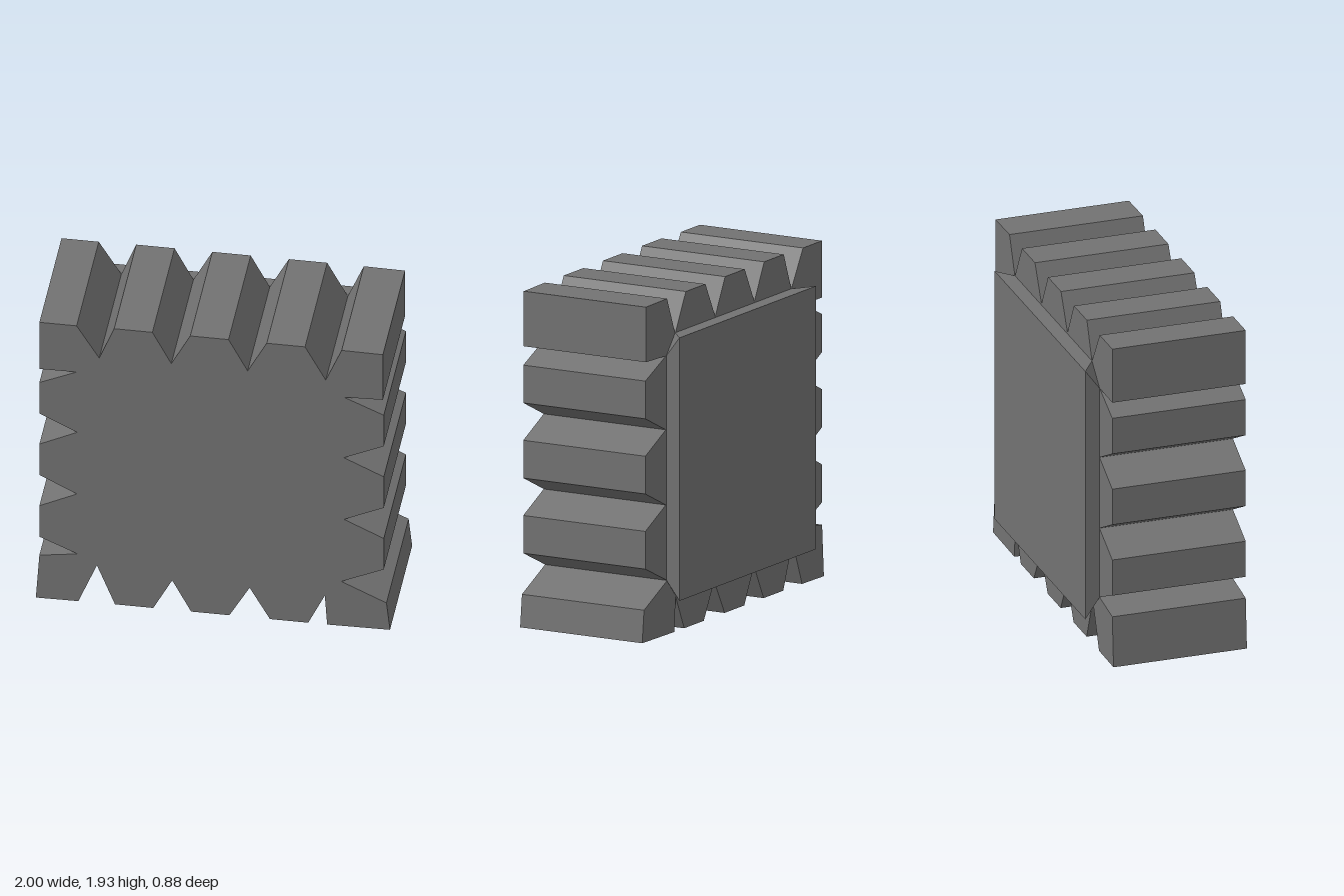
import * as THREE from 'three';

const FRONT = 0.435, STEP = -0.355, BACK = -0.44;

// Row of three teeth with V valleys between them; place(along, level) gives a point
function teeth(centres, half, edge, valley, place) {
  const pts = [];
  centres.forEach((c, i) => {
    pts.push(place(c - half, edge), place(c + half, edge));
    if (i < centres.length - 1) pts.push(place((c + centres[i + 1]) / 2, valley));
  });
  return pts;
}
const alongX = (a, level) => [a, level];
const alongY = (a, level) => [level, a];

// Outline, counter-clockwise from the lower left corner block
function outline() {
  const xs = [-0.445, -0.015, 0.43], ys = [0.535, 0.965, 1.395], h = 0.108;
  return [
    [-0.98, 0.298], [-1, 0], [-0.76, 0.003], [-0.655, 0.265],
    ...teeth(xs, h, 0.005, 0.21, alongX),
    [0.632, 0.205], [0.645, 0.005], [1, 0.01], [0.98, 0.195], [0.725, 0.315],
    ...teeth(ys, h, 0.965, 0.74, alongY),
    [0.74, 1.602], [0.96, 1.61], [0.96, 1.925], [0.727, 1.928], [0.637, 1.71],
    ...teeth([-0.45, -0.02, 0.412], h, 1.928, 1.722, alongX).reverse(),
    [-0.642, 1.713], [-0.77, 1.923], [-0.98, 1.923], [-0.98, 1.598], [-0.77, 1.6],
    ...teeth(ys, h, -0.98, -0.767, alongY).reverse(),
    [-0.765, 0.332],
  ];
}

// Back plate: chamfered ring against the block, flaring to a square
function plateGeometry() {
  const L = -0.77, R = 0.735, B = 0.21, T = 1.715;
  const near = [[-0.655, 0.265], [-0.23, B], [0.632, B], [R, 0.32], [R, 1.602],
    [0.637, T], [-0.642, T], [L, 1.6], [L, 0.332]];
  const far = [[L, B], [-0.23, B], [R, B], [R, B], [R, T], [R, T], [L, T], [L, T], [L, B]];
  const pos = [];
  const put = (...pts) => pts.forEach(([p, z]) => pos.push(p[0], p[1], z));
  const n = near.length;
  for (let i = 0; i < n; i++) {
    const j = (i + 1) % n;
    if (far[i].join() !== far[j].join()) put([near[i], STEP], [far[i], BACK], [far[j], BACK]);
    put([near[i], STEP], [far[j], BACK], [near[j], STEP]);
  }
  // Flat back face
  const [a, b, c, d] = [[L, B], [R, B], [R, T], [L, T]].map(p => [p, BACK]);
  put(a, c, b, a, d, c);
  const g = new THREE.BufferGeometry();
  g.setAttribute('position', new THREE.Float32BufferAttribute(pos, 3));
  g.computeVertexNormals();
  return g;
}

export function createModel() {
  const group = new THREE.Group();
  group.name = 'notchedBlock';
  const material = new THREE.MeshStandardMaterial({ color: 0x727272, flatShading: true });

  // Thick block with toothed edges
  const shape = new THREE.Shape(outline().map(([x, y]) => new THREE.Vector2(x, y)));
  const blockGeometry = new THREE.ExtrudeGeometry(shape, { depth: FRONT - STEP, bevelEnabled: false });
  blockGeometry.translate(0, 0, STEP);
  const block = new THREE.Mesh(blockGeometry, material);
  block.name = 'toothedBlock';

  const plate = new THREE.Mesh(plateGeometry(), material);
  plate.name = 'backPlate';

  group.add(block, plate);
  return group;
}
